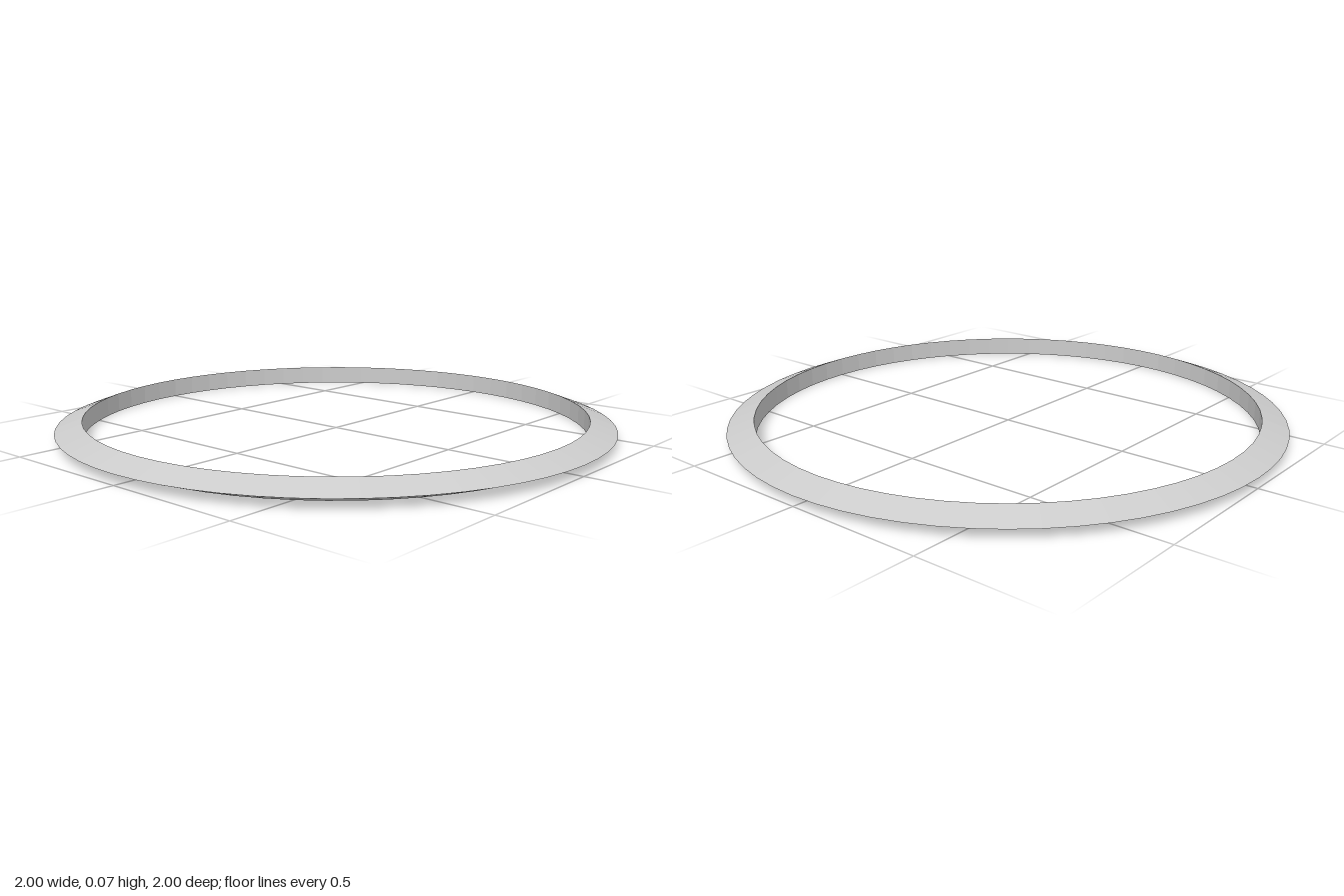
import * as THREE from 'three';

export function createModel() {
  const group = new THREE.Group();
  group.name = 'ringModel';

  const inner = 0.905, outer = 1, height = 0.07;

  // Triangular section: flat inner wall, two bevels meeting at a sharp outer rim
  const section = [
    [inner, 0],
    [outer, height / 2],
    [inner, height],
    [inner, 0],
  ].map(([r, y]) => new THREE.Vector2(r, y));

  const ring = new THREE.Mesh(
    new THREE.LatheGeometry(section, 64),
    new THREE.MeshStandardMaterial({ color: 0xcccccc, flatShading: true })
  );
  ring.name = 'bevelledRing';
  group.add(ring);

  return group;
}
